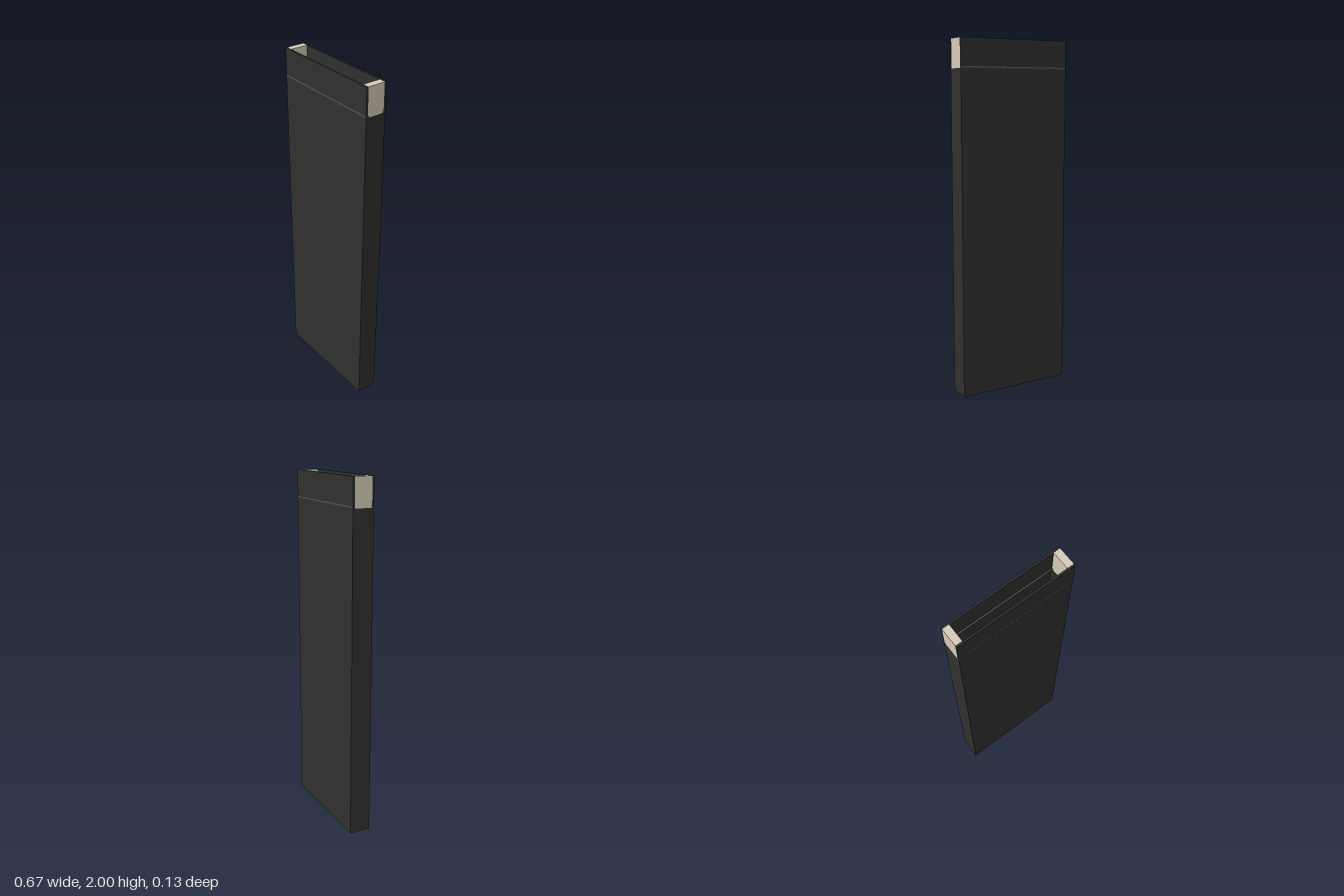
import * as THREE from 'three';

const material = (color) => new THREE.MeshStandardMaterial({ color });

export function createModel() {
  const model = new THREE.Group();
  const dark = material(0x30302f);
  const trim = material(0x484847);
  const cream = material(0xd6ccb9);

  function add(name, geometry, mat, x, y, z) {
    const mesh = new THREE.Mesh(geometry, mat);
    mesh.name = name;
    mesh.position.set(x, y, z);
    model.add(mesh);
    return mesh;
  }
  const box = (name, w, h, d, mat, x, y, z) =>
    add(name, new THREE.BoxGeometry(w, h, d), mat, x, y, z);

  const halfW = 0.336, halfD = 0.061, bodyH = 1.84;
  const innerW = 0.291, innerD = 0.048, floorH = 0.02;

  // Hollow lower case: a rectangular tube with a closed floor
  const outline = new THREE.Shape([
    new THREE.Vector2(-halfW, -halfD), new THREE.Vector2(halfW, -halfD),
    new THREE.Vector2(halfW, halfD), new THREE.Vector2(-halfW, halfD),
  ]);
  outline.holes.push(new THREE.Path([
    new THREE.Vector2(-innerW, -innerD), new THREE.Vector2(-innerW, innerD),
    new THREE.Vector2(innerW, innerD), new THREE.Vector2(innerW, -innerD),
  ]));
  const tube = new THREE.ExtrudeGeometry(outline, { depth: bodyH, bevelEnabled: false });
  tube.rotateX(-Math.PI / 2);
  add('caseWalls', tube, dark, 0, 0, 0);
  box('caseFloor', innerW * 2, floorH, innerD * 2, dark, 0, floorH / 2, 0);

  // Upper front and back panels, each with a rounded trim bead along the joint
  for (const side of [1, -1]) {
    const end = side > 0 ? 'front' : 'back';
    box(end + 'UpperPanel', halfW * 2, 2 - bodyH, 0.011, dark,
      0, (2 + bodyH) / 2, side * 0.0555);
    const bead = new THREE.CylinderGeometry(0.01, 0.01, halfW * 2, 16);
    bead.rotateZ(Math.PI / 2);
    add(end + 'TrimBead', bead, trim, 0, 1.845, side * 0.053);
  }

  // Pale end blocks at the mouth and round bosses inside the end walls
  for (const side of [1, -1]) {
    const end = side > 0 ? 'left' : 'right';
    box(end + 'EndBlock', 0.039, 2 - bodyH, 0.1, cream,
      side * (halfW - 0.0195), (2 + bodyH) / 2, 0);
    const boss = new THREE.CylinderGeometry(0.046, 0.046, 0.034, 32);
    boss.rotateZ(Math.PI / 2);
    add(end + 'InnerRoller', boss, trim, side * (innerW - 0.017), floorH + 0.046, 0);
  }

  return model;
}
